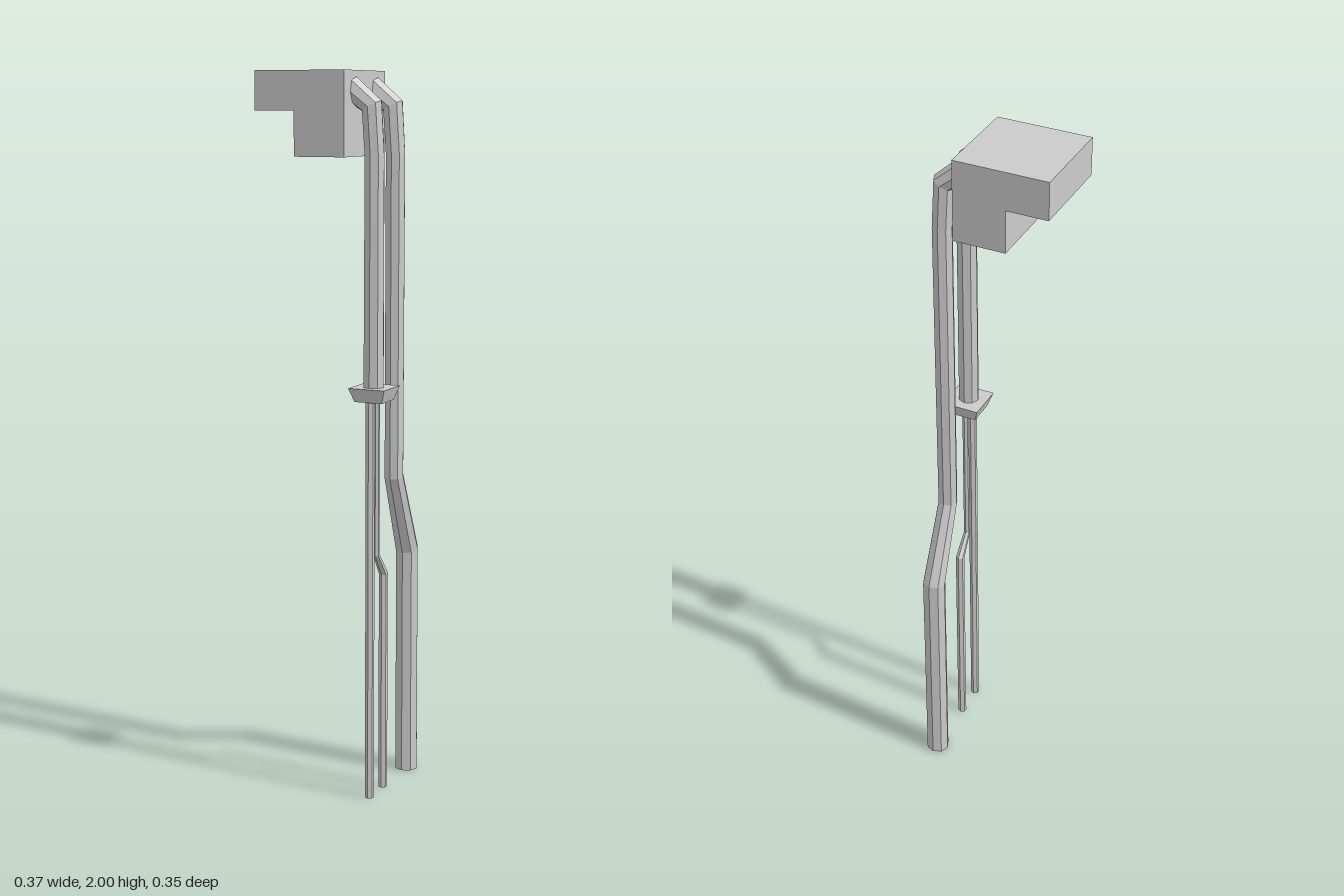
import * as THREE from 'three';

const material = new THREE.MeshStandardMaterial({ color: 0xcccccc, flatShading: true });

function addMesh(group, name, geometry) {
  const mesh = new THREE.Mesh(geometry, material);
  mesh.name = name;
  group.add(mesh);
  return mesh;
}

// Faceted pipe through stations [x, y, z, radius], mitred at the bends and capped
function pipeGeometry(stations, sides) {
  const centres = stations.map(([x, y, z]) => new THREE.Vector3(x, y, z));
  const last = centres.length - 1;
  const zAxis = new THREE.Vector3(0, 0, 1);
  const direction = (i) => centres[i + 1].clone().sub(centres[i]).normalize();

  const rings = centres.map((c, i) => {
    const t = direction(Math.min(i, last - 1)).add(direction(Math.max(i - 1, 0))).normalize();
    const v = zAxis.clone().cross(t).normalize();
    const u = t.clone().cross(v);
    return Array.from({ length: sides }, (_, j) => {
      const a = Math.PI / 2 + (j / sides) * Math.PI * 2;
      const r = stations[i][3];
      return c.clone().addScaledVector(v, r * Math.cos(a)).addScaledVector(u, r * Math.sin(a));
    });
  });

  const points = [];
  for (let j = 0; j < sides; j++) {
    const k = (j + 1) % sides;
    for (let i = 0; i < last; i++) {
      const [a, b, c, d] = [rings[i][j], rings[i][k], rings[i + 1][k], rings[i + 1][j]];
      points.push(a, b, c, a, c, d);
    }
    points.push(centres[0], rings[0][k], rings[0][j]);
    points.push(centres[last], rings[last][j], rings[last][k]);
  }
  const geometry = new THREE.BufferGeometry().setFromPoints(points);
  geometry.computeVertexNormals();
  return geometry;
}

export function createModel() {
  const model = new THREE.Group();
  model.name = 'wallBoxWithPipes';

  // Stepped box: an L-shaped side profile extruded along z
  const profile = new THREE.Shape([
    [-0.186, 2], [-0.186, 1.895], [-0.07, 1.895], [-0.07, 1.775], [0.077, 1.775], [0.077, 2],
  ].map(([x, y]) => new THREE.Vector2(x, y)));
  const box = new THREE.ExtrudeGeometry(profile, { depth: 0.261, bevelEnabled: false });
  addMesh(model, 'steppedBox', box.translate(0, 0, -0.088));

  // Both thick pipes leave the box with the same elbow
  const elbow = (z) => [
    [0.06, 1.957, z + 0.007, 0.033],
    [0.122, 1.907, z, 0.031],
    [0.13, 1.78, z, 0.028],
  ];
  addMesh(model, 'backPipe', pipeGeometry([
    ...elbow(-0.041),
    [0.13, 0.89, -0.041, 0.028],
    [0.13, 0.66, -0.137, 0.0335],
    [0.13, 0, -0.141, 0.0335],
  ], 8));
  addMesh(model, 'frontPipe', pipeGeometry([
    ...elbow(0.097),
    [0.13, 1.15, 0.099, 0.029],
  ], 8));

  // Square collar, wider at its top
  const collar = new THREE.CylinderGeometry(0.053 * Math.SQRT2, 0.04 * Math.SQRT2, 0.038, 4);
  collar.rotateY(Math.PI / 4);
  addMesh(model, 'collar', collar).position.set(0.13, 1.142, 0.0955);

  // Thin pipes below the collar
  addMesh(model, 'straightThinPipe', pipeGeometry([
    [0.13, 1.13, 0.12, 0.0125],
    [0.13, 0, 0.12, 0.0125],
  ], 6));
  addMesh(model, 'bentThinPipe', pipeGeometry([
    [0.13, 1.13, 0.077, 0.009],
    [0.13, 0.69, 0.077, 0.009],
    [0.13, 0.627, 0.029, 0.0125],
    [0.13, 0, 0.028, 0.0125],
  ], 6));

  return model;
}
